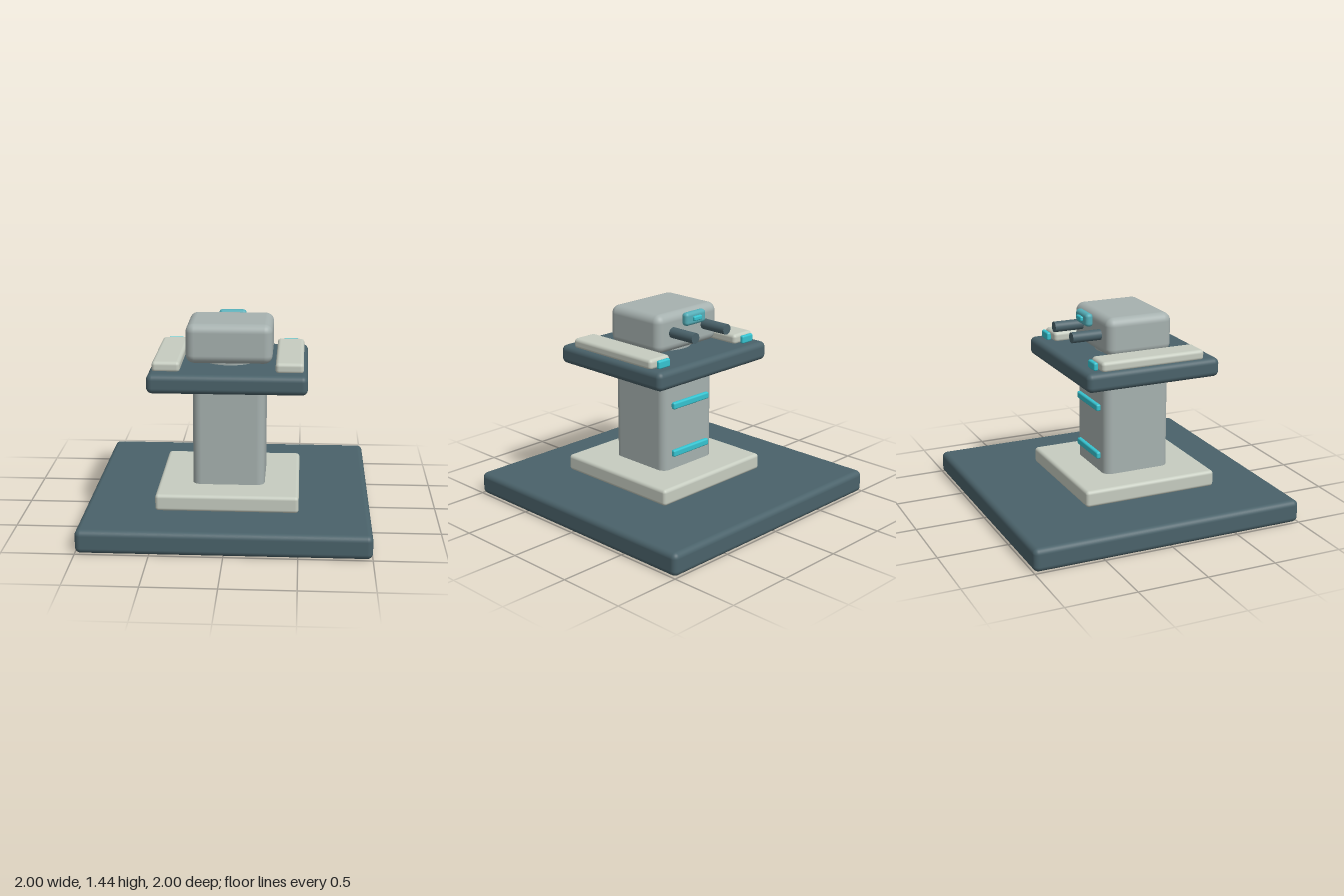
import * as THREE from 'three';
import { RoundedBoxGeometry } from 'three/addons/geometries/RoundedBoxGeometry.js';

const paint = (color) => new THREE.MeshStandardMaterial({ color });

export function createModel() {
  const model = new THREE.Group();
  const dark = paint(0x4a626a);
  const grey = paint(0xa6b1af);
  const pale = paint(0xc6ccc0);
  const cyan = paint(0x36c3d0);
  const dullCyan = paint(0x55aeb8);

  // Rounded block given by its extents along x, y and z
  function block(name, material, [x0, x1], [y0, y1], [z0, z1], radius) {
    const geometry = new RoundedBoxGeometry(x1 - x0, y1 - y0, z1 - z0, 4, radius);
    const mesh = new THREE.Mesh(geometry, material);
    mesh.name = name;
    mesh.position.set((x0 + x1) / 2, (y0 + y1) / 2, (z0 + z1) / 2);
    model.add(mesh);
    return mesh;
  }

  function cylinder(name, material, radius, length, x, y, z) {
    const mesh = new THREE.Mesh(new THREE.CylinderGeometry(radius, radius, length, 32), material);
    mesh.name = name;
    mesh.position.set(x, y, z);
    model.add(mesh);
    return mesh;
  }

  // Ground slab, plinth, column and upper deck
  block('base', dark, [-1, 1], [0.005, 0.17], [-1, 1], 0.04);
  block('plinth', pale, [-0.5, 0.5], [0.165, 0.285], [-0.415, 0.585], 0.025);
  block('column', grey, [-0.255, 0.255], [0.22, 1.04], [-0.165, 0.34], 0.06);
  block('deck', dark, [-0.55, 0.55], [1.01, 1.145], [-0.42, 0.585], 0.04);

  // Light strips on the back of the column
  for (const y of [0.41, 0.77]) {
    block('columnLight', cyan, [-0.18, 0.18], [y - 0.025, y + 0.025], [-0.197, -0.163], 0.012);
  }

  // Head on its neck
  cylinder('neck', grey, 0.2, 0.06, 0, 1.16, 0.085);
  block('head', grey, [-0.303, 0.303], [1.16, 1.44], [-0.162, 0.335], 0.06);

  // Sight with its lens
  block('sight', dullCyan, [-0.1, 0.1], [1.345, 1.44], [-0.238, -0.182], 0.025);
  block('lens', cyan, [-0.04, 0.04], [1.377, 1.411], [-0.257, -0.23], 0.01);

  // Paired rails, their lights and the barrels
  for (const side of [-1, 1]) {
    const span = (center, half) => [side * center - half, side * center + half];
    const label = side > 0 ? 'left' : 'right';
    block(label + 'Rail', pale, span(0.425, 0.097), [1.135, 1.21], [-0.303, 0.473], 0.025);
    block(label + 'RailLight', cyan, span(0.425, 0.055), [1.145, 1.203], [-0.347, -0.315], 0.012);
    const barrel = cylinder(label + 'Barrel', dark, 0.038, 0.28, side * 0.16, 1.304, -0.238);
    barrel.rotation.x = Math.PI / 2;
  }

  return model;
}
